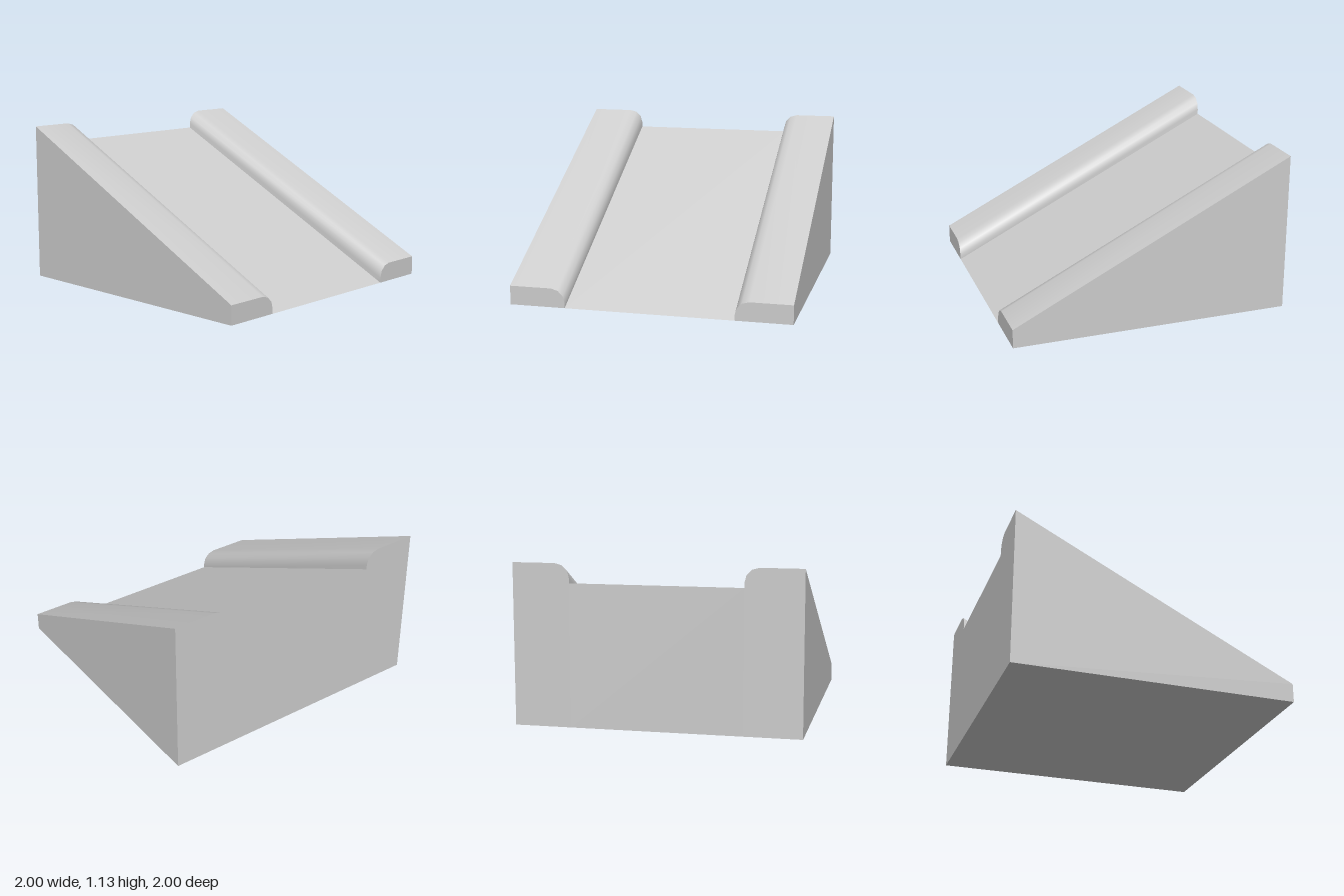
import * as THREE from 'three';
import { toCreasedNormals } from 'three/addons/utils/BufferGeometryUtils.js';

const HALF = 1;         // half of width and length
const INNER = 0.6;      // inner edge of each kerb
const KERB = 0.135;     // kerb height above the slope
const RADIUS = 0.1;     // rounding of the kerb's inner edge
const slope = (z) => (HALF - z) / 2;

// Wedge between the kerbs: a triangle extruded across the width
function rampGeometry() {
  const side = new THREE.Shape([
    new THREE.Vector2(-HALF, 0),
    new THREE.Vector2(HALF, 0),
    new THREE.Vector2(HALF, slope(-HALF)),
  ]);
  const geo = new THREE.ExtrudeGeometry(side, { depth: INNER * 2, bevelEnabled: false });
  geo.translate(0, 0, -INNER);
  geo.rotateY(Math.PI / 2);
  return geo;
}

// Kerb: a profile with a rounded inner edge, extruded along z, then sheared up the slope
function kerbGeometry(sign) {
  const base = -1;
  const pts = [[INNER, base], [HALF, base], [HALF, KERB]];
  for (let i = 0; i <= 3; i++) {
    const a = Math.PI / 2 * (1 + i / 3);
    pts.push([INNER + RADIUS + RADIUS * Math.cos(a), KERB - RADIUS + RADIUS * Math.sin(a)]);
  }
  const shape = new THREE.Shape(pts.map(([x, y]) => new THREE.Vector2(sign * x, y)));
  const geo = new THREE.ExtrudeGeometry(shape, { depth: 2 * HALF, bevelEnabled: false });
  geo.translate(0, 0, -HALF);
  const pos = geo.attributes.position;
  for (let i = 0; i < pos.count; i++) {
    const y = pos.getY(i);
    pos.setY(i, y < -0.5 ? 0 : y + slope(pos.getZ(i)));
  }
  return toCreasedNormals(geo, 0.7);
}

export function createModel() {
  const group = new THREE.Group();
  group.name = 'kerbedRamp';
  const grey = new THREE.MeshStandardMaterial({ color: 0xcccccc });
  grey.name = 'light grey';

  const add = (name, geo) => {
    const mesh = new THREE.Mesh(geo, grey);
    mesh.name = name;
    group.add(mesh);
  };
  add('ramp', rampGeometry());
  add('leftKerb', kerbGeometry(1));
  add('rightKerb', kerbGeometry(-1));
  return group;
}
